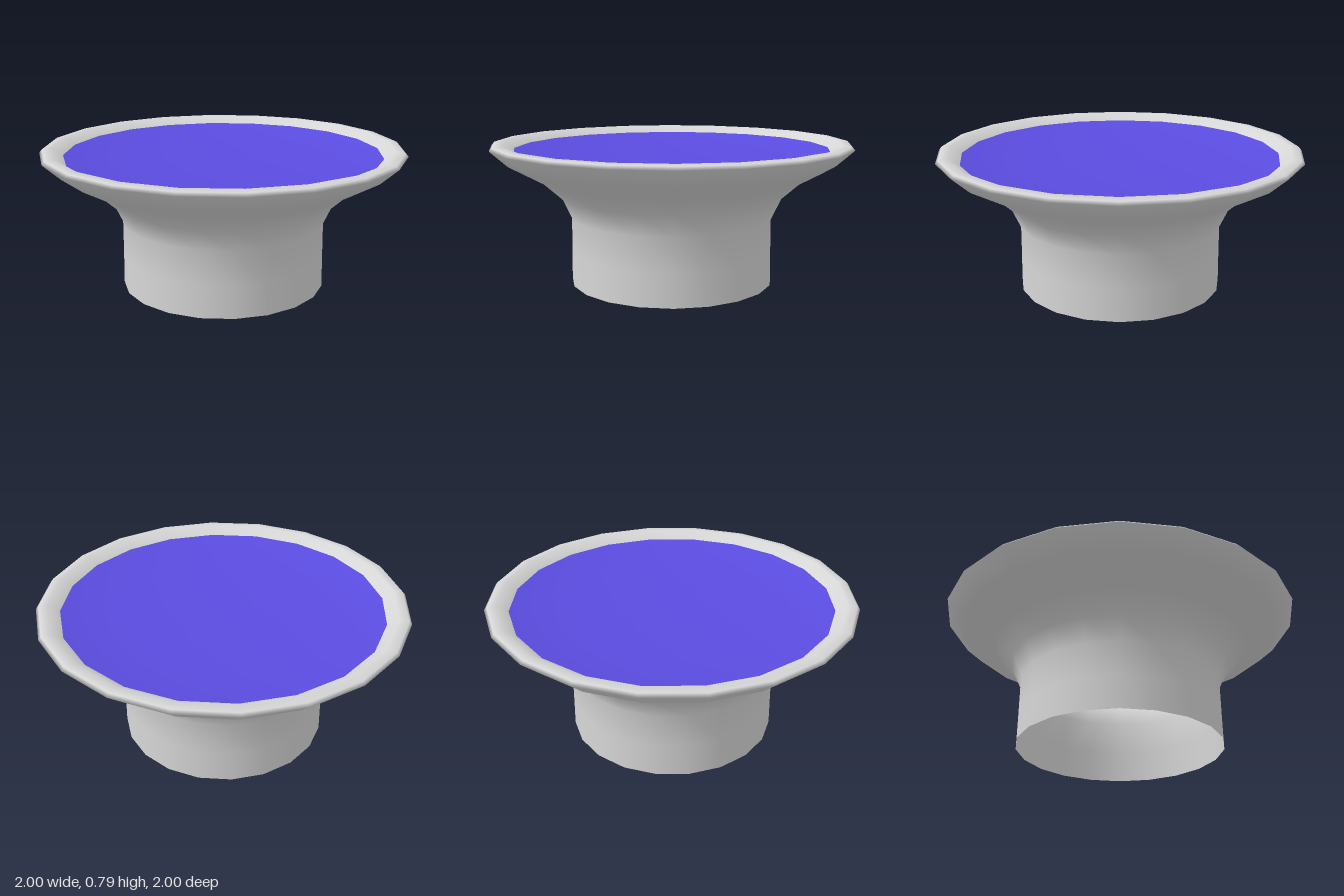
import * as THREE from 'three';

const SIDES = 20;

// Spin a list of [radius, height] points around the y axis
function spin(name, profile, material) {
  const points = profile.map(([r, y]) => new THREE.Vector2(r, y));
  const mesh = new THREE.Mesh(new THREE.LatheGeometry(points, SIDES), material);
  mesh.name = name;
  return mesh;
}

export function createModel() {
  const grey = new THREE.MeshStandardMaterial({ color: 0xd6d6d6, side: THREE.DoubleSide });
  grey.name = 'light grey';
  const violet = new THREE.MeshStandardMaterial({ color: 0x5b4ce0, side: THREE.DoubleSide });
  violet.name = 'violet blue';

  const group = new THREE.Group();
  group.name = 'flaredBowl';

  // Open tube flaring out to a rolled rim
  group.add(spin('flaredBody', [
    [0.57, 0], [0.567, 0.18], [0.565, 0.37], [0.62, 0.49], [0.72, 0.58],
    [0.905, 0.682], [1, 0.768], [0.985, 0.785], [0.935, 0.79], [0.875, 0.75],
  ], grey));

  // Shallow concave dish inside the rim
  group.add(spin('dish', [
    [0.875, 0.75], [0.78, 0.73], [0.6, 0.706], [0.3, 0.688], [0, 0.684],
  ], violet));

  return group;
}
